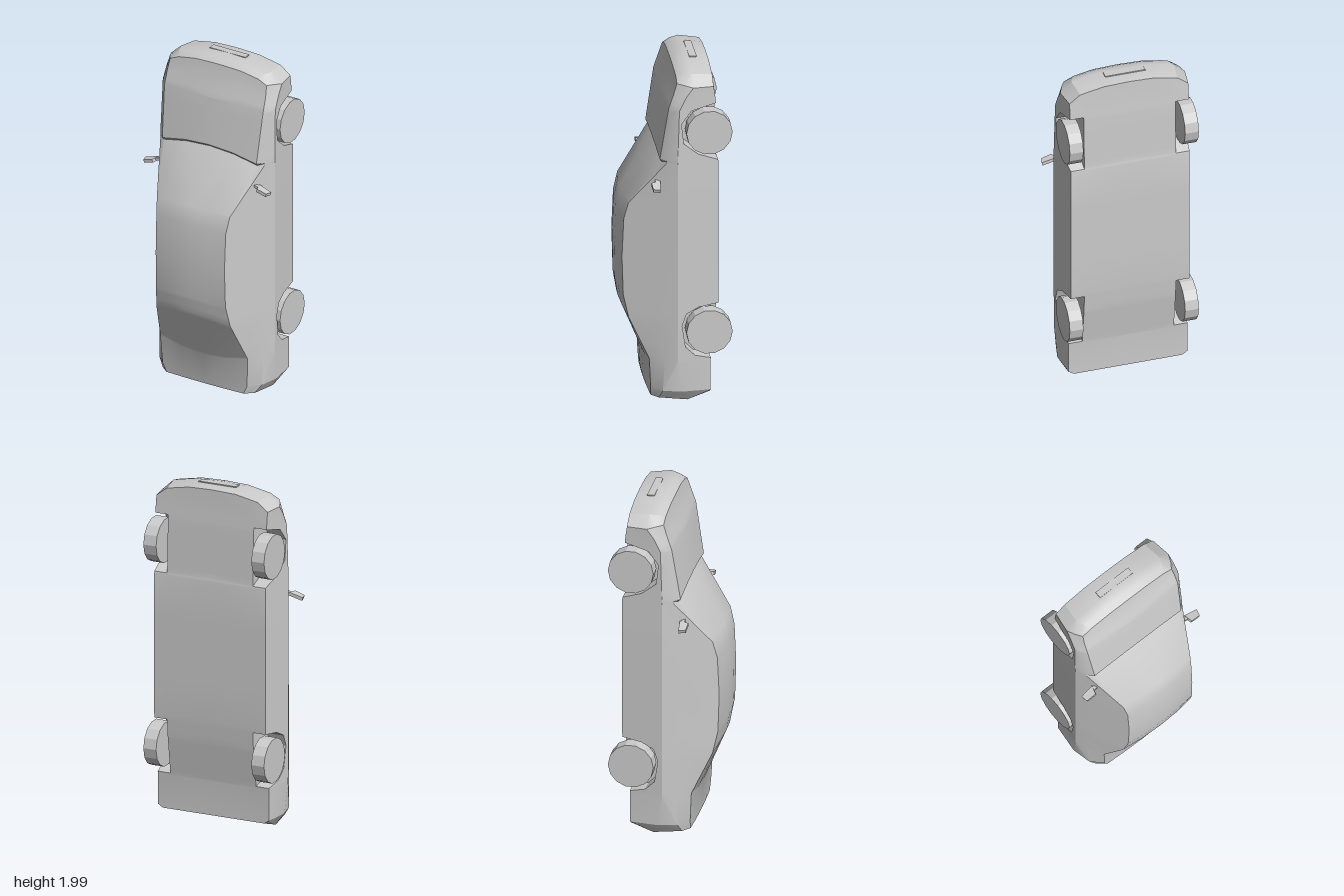
import * as THREE from 'three';
import { toCreasedNormals } from 'three/addons/utils/BufferGeometryUtils.js';

const grey = new THREE.MeshStandardMaterial({ color: 0xcccccc });

// Linear interpolation in rows sorted by their first entry.
function sample(rows, t) {
  if (t <= rows[0][0]) return rows[0];
  for (let i = 1; i < rows.length; i++) {
    const a = rows[i - 1], b = rows[i];
    if (t <= b[0]) {
      const k = (t - a[0]) / (b[0] - a[0]);
      return a.map((v, j) => v + (b[j] - v) * k);
    }
  }
  return rows[rows.length - 1];
}

// Body sections along the length (the car stands on its tail, nose up):
// y, roof z, roof edge x, z, belt x, z, widest x, z, floor z, bow of the centre
const sections = [
  [0.07, 0.147, 0.28, 0.141, 0.34, 0.08, 0.366, -0.03, -0.19, -0.045],
  [0.25, 0.158, 0.29, 0.150, 0.345, 0.07, 0.375, 0, -0.19, -0.045],
  [0.49, 0.292, 0.245, 0.262, 0.338, 0.085, 0.378, 0, -0.225, 0.04],
  [0.62, 0.308, 0.23, 0.29, 0.335, 0.09, 0.378, 0, -0.235, 0.01],
  [0.85, 0.312, 0.228, 0.297, 0.333, 0.09, 0.378, 0, -0.235, 0],
  [1.08, 0.302, 0.23, 0.287, 0.333, 0.09, 0.378, 0, -0.235, 0],
  [1.18, 0.28, 0.242, 0.262, 0.333, 0.09, 0.378, 0, -0.235, 0.01],
  [1.445, 0.088, 0.31, 0.08, 0.345, 0.06, 0.378, 0, -0.235, 0.045],
  [1.46, 0.104, 0.312, 0.093, 0.348, 0.057, 0.378, 0, -0.232, 0.045],
  [1.77, 0.06, 0.327, 0.045, 0.355, 0.02, 0.373, -0.01, -0.222, 0.01],
  [1.85, 0.03, 0.326, 0.018, 0.35, -0.015, 0.37, -0.05, -0.215, 0.02],
];

// Wheel arch outlines: y, z of the lip
const arches = [
  [[0.262, -0.191], [0.285, -0.1], [0.34, -0.045], [0.47, -0.025], [0.54, -0.05], [0.575, -0.12], [0.592, -0.235]],
  [[1.458, -0.235], [1.5, -0.12], [1.57, -0.035], [1.69, -0.022], [1.765, -0.08], [1.8, -0.221]],
];
const wellX = 0.27, floorX = 0.35;

// Half section from the roof centre round to the floor centre, as [x, z].
function halfSection([, zc, xe, ze, xb, zb, xw, zw, zf], lip = zf) {
  lip = Math.max(lip, zf);
  const lipX = xw + (floorX - xw) * (zw - lip) / (zw - zf);
  return [[0, zc], [xe * 0.5, zc - (zc - ze) * 0.25], [xe, ze], [xb, zb], [xw, zw],
    [lipX, lip], [wellX, lip], [wellX, zf], [0, zf]];
}

function bodyRings() {
  const rings = [];
  // Tail face with its projecting bumper
  const tailZ = [[-0.19, 0.05], [-0.065, 0.004], [-0.04, 0.02], [0.145, 0.018]];
  const tail = halfSection([0, 0.145, 0.28, 0.139, 0.335, 0.1, 0.36, -0.04, -0.19])
    .map(([x, z], i) => [x, i === 4 ? -0.06 : z]);
  for (const s of [0, 0.91]) {
    rings.push(tail.map(([x, z]) => [x * s, sample(tailZ, z)[1], z]));
  }
  // Cabin, bonnet and wheel arches
  const ys = [...sections.map(r => r[0]), ...arches.flat().map(p => p[0])].sort((a, b) => a - b);
  for (const y of ys) {
    const row = sample(sections, y);
    const arch = arches.find(a => y >= a[0][0] && y <= a[a.length - 1][0]);
    const bow = [row[9], row[9] * 0.75];
    rings.push(halfSection(row, arch && sample(arch, y)[1]).map(([x, z], i) => [x, y + (bow[i] || 0), z]));
  }
  // Rounded nose
  const noseX = [[0, 2], [0.15, 1.995], [0.3, 1.965], [0.37, 1.9]];
  const nose = halfSection([0, 0, 0.32, -0.003, 0.345, -0.04, 0.367, -0.09, -0.207]);
  for (const s of [1, 0.82, 0.42, 0]) {
    rings.push(nose.map(([x, z]) => {
      const k = z > -0.09 ? 4 : 1.3;
      return [x * s, sample(noseX, x * s)[1] - k * (z + 0.09) ** 2, z];
    }));
  }
  return rings;
}

// Skin both halves between neighbouring rings.
function bodyGeometry() {
  const rings = bodyRings(), out = [];
  const tri = (a, b, c) => {
    const [p, q, r] = [a, b, c].map(v => new THREE.Vector3(...v));
    if (q.sub(p).cross(r.sub(p)).length() < 1e-7) return;
    out.push(...a, ...b, ...c);
    for (const v of [a, c, b]) out.push(-v[0], v[1], v[2]);
  };
  for (let i = 0; i + 1 < rings.length; i++) {
    for (let j = 0; j + 1 < rings[i].length; j++) {
      const a = rings[i][j], b = rings[i][j + 1], c = rings[i + 1][j + 1], d = rings[i + 1][j];
      tri(a, b, c);
      tri(a, c, d);
    }
  }
  const g = new THREE.BufferGeometry();
  g.setAttribute('position', new THREE.Float32BufferAttribute(out, 3));
  return toCreasedNormals(g, 0.4);
}

export function createModel() {
  const model = new THREE.Group();
  model.name = 'car';
  const add = (name, geometry, x, y, z, rz = 0, material = grey) => {
    const m = new THREE.Mesh(geometry, material);
    m.name = name;
    m.position.set(x, y, z);
    m.rotation.z = rz;
    model.add(m);
    return m;
  };

  const shell = grey.clone();
  shell.side = THREE.DoubleSide;
  add('body', bodyGeometry(), 0, 0, 0, 0, shell);

  // Wheels
  const wheel = toCreasedNormals(new THREE.CylinderGeometry(0.131, 0.131, 0.08, 14).rotateZ(Math.PI / 2), 0.3);
  for (const [end, y] of [['rear', 0.428], ['front', 1.633]]) {
    for (const [side, s] of [['Left', 1], ['Right', -1]]) add(`${end}${side}Wheel`, wheel, s * 0.34, y, -0.18);
  }

  // Door mirrors with tapered housings
  const outline = new THREE.Shape([[-0.04, -0.022], [0.046, -0.014], [0.036, 0.026], [-0.026, 0.029]]
    .map(([x, z]) => new THREE.Vector2(x, -z)));
  const housing = new THREE.ExtrudeGeometry(outline, { depth: 0.02, bevelEnabled: false })
    .translate(0, 0, -0.01).rotateX(-Math.PI / 2);
  const arm = new THREE.BoxGeometry(0.04, 0.014, 0.02);
  for (const [side, s] of [['left', 1], ['right', -1]]) {
    const m = add(`${side}Mirror`, housing, s * 0.37, 1.318, 0.116, s > 0 ? -0.28 : Math.PI + 0.28);
    m.add(new THREE.Mesh(arm, grey));
    m.children[0].name = 'mirrorArm';
    m.children[0].position.set(-0.045, 0, -0.005);
  }

  // Front plate and rear panel
  add('frontPlate', new THREE.BoxGeometry(0.236, 0.006, 0.042), 0, 1.996, -0.12);
  add('rearPanel', new THREE.BoxGeometry(0.36, 0.008, 0.03), 0, 0.017, 0.07);
  return model;
}
